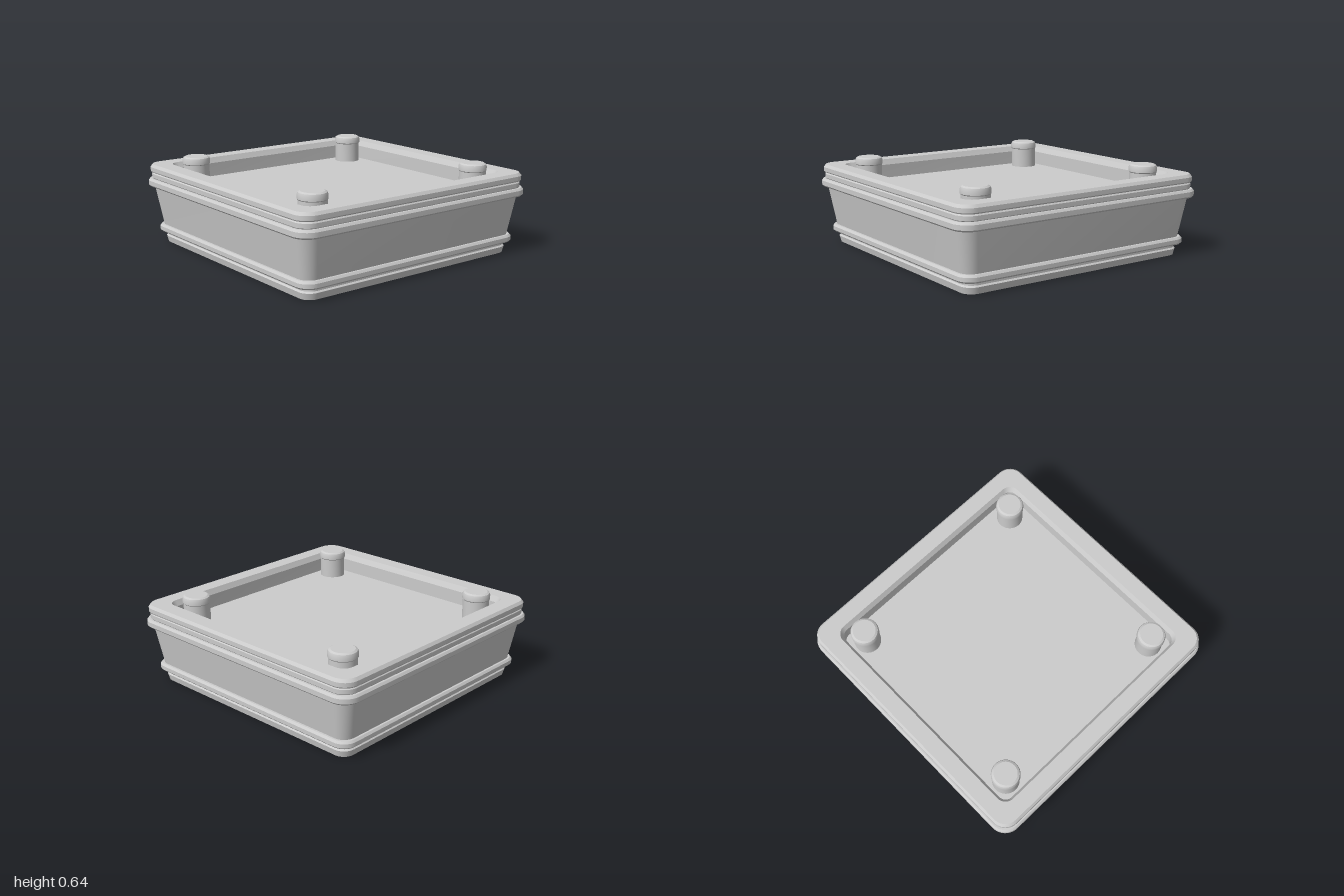
import * as THREE from 'three';
import { toCreasedNormals } from 'three/addons/utils/BufferGeometryUtils.js';

const material = new THREE.MeshStandardMaterial({ color: 0xcccccc });
const CORNER_STEPS = 10;

// Rounded square outline of half-width h and corner radius r at height y
function ring(h, y, r) {
  const points = [];
  for (let q = 0; q < 4; q++) {
    const mid = (q + 0.5) * Math.PI / 2;
    const cx = Math.sign(Math.cos(mid)) * (h - r);
    const cz = Math.sign(Math.sin(mid)) * (h - r);
    for (let i = 0; i <= CORNER_STEPS; i++) {
      const a = (q + i / CORNER_STEPS) * Math.PI / 2;
      points.push([cx + r * Math.cos(a), y, cz + r * Math.sin(a)]);
    }
  }
  return points;
}

// Skin through rows of [half-width, height, corner radius]; half-width 0 closes an end
function loft(name, rows) {
  const rings = rows.map(([h, y, r]) => ring(h, y, r));
  const n = rings[0].length;
  const positions = [];
  for (let i = 0; i < rows.length - 1; i++) {
    for (let j = 0; j < n; j++) {
      const k = (j + 1) % n;
      const a = rings[i][j], b = rings[i][k], c = rings[i + 1][j], d = rings[i + 1][k];
      if (rows[i][0] > 0) positions.push(...a, ...c, ...b);
      if (rows[i + 1][0] > 0) positions.push(...b, ...c, ...d);
      if (rows[i][0] === 0) positions.push(...a, ...c, ...d);
      if (rows[i][0] === 0) positions.splice(-18, 9);
    }
  }
  const geometry = new THREE.BufferGeometry();
  geometry.setAttribute('position', new THREE.Float32BufferAttribute(positions, 3));
  const mesh = new THREE.Mesh(toCreasedNormals(geometry, 0.45), material);
  mesh.name = name;
  return mesh;
}

export function createModel() {
  const group = new THREE.Group();
  group.name = 'squareTray';

  // Foot with a closed underside and a shallow groove above it
  group.add(loft('foot', [
    [0, 0, 0], [0.895, 0, 0.08], [0.905, 0.045, 0.085], [0.895, 0.055, 0.08], [0.895, 0.085, 0.08],
  ]));

  // Lower moulding
  group.add(loft('lowerBand', [
    [0.895, 0.08, 0.08], [0.93, 0.08, 0.09], [0.942, 0.092, 0.1],
    [0.942, 0.12, 0.1], [0.93, 0.135, 0.09], [0.9, 0.135, 0.08],
  ]));

  // Sloping side walls
  group.add(loft('sideWalls', [[0.915, 0.13, 0.085], [0.964, 0.43, 0.1]]));

  // Upper moulding
  group.add(loft('upperBand', [
    [0.95, 0.42, 0.09], [0.988, 0.42, 0.11], [1, 0.432, 0.12],
    [1, 0.465, 0.12], [0.988, 0.48, 0.11], [0.95, 0.48, 0.09],
  ]));

  // Collar between the upper moulding and the rim
  group.add(loft('collar', [
    [0.97, 0.475, 0.1], [0.977, 0.485, 0.105], [0.977, 0.515, 0.105], [0.967, 0.527, 0.1],
  ]));

  // Rim, bevelled inner edge and recessed floor
  group.add(loft('rimAndFloor', [
    [0.96, 0.527, 0.1], [0.98, 0.527, 0.105], [0.985, 0.535, 0.11], [0.985, 0.565, 0.11],
    [0.97, 0.585, 0.1], [0.857, 0.585, 0.075], [0.837, 0.545, 0.06], [0.837, 0.445, 0.06], [0, 0.445, 0],
  ]));

  // Four corner pegs with a bevelled cap
  const profile = [
    [0.095, 0.44], [0.095, 0.588], [0.1, 0.594], [0.1, 0.622], [0.094, 0.637], [0.08, 0.645], [0, 0.645],
  ].map(([r, y]) => new THREE.Vector2(r, y));
  const pegGeometry = toCreasedNormals(new THREE.LatheGeometry(profile, 40), 0.45);
  for (const x of [-0.71, 0.71]) {
    for (const z of [-0.71, 0.71]) {
      const peg = new THREE.Mesh(pegGeometry, material);
      peg.name = `${z > 0 ? 'front' : 'back'}${x > 0 ? 'Left' : 'Right'}Peg`;
      peg.position.set(x, 0, z);
      group.add(peg);
    }
  }
  return group;
}
